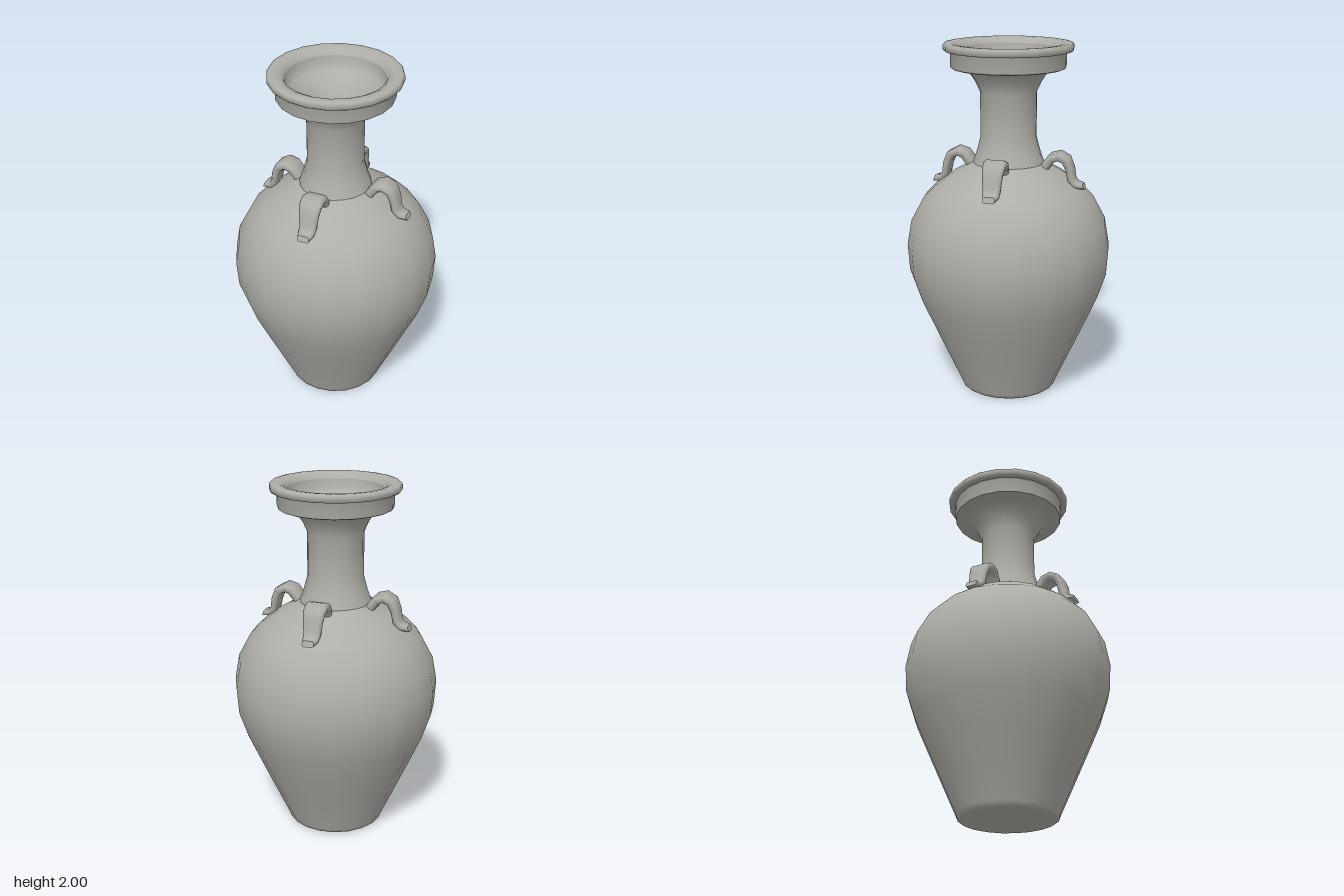
import * as THREE from 'three';
import { toCreasedNormals } from 'three/addons/utils/BufferGeometryUtils.js';

const clay = new THREE.MeshStandardMaterial({ color: 0xaeada7 });
clay.name = 'grey clay';

const SIDES = 20;

// Turned part from [radius, height] pairs
function turned(name, profile) {
  const points = profile.map(([r, y]) => new THREE.Vector2(r, y));
  const mesh = new THREE.Mesh(toCreasedNormals(new THREE.LatheGeometry(points, SIDES), 0.9), clay);
  mesh.name = name;
  return mesh;
}

// Arched strap swept along [radius, height, half width, half thickness] stations
function strapGeometry() {
  const stations = [
    [0.195, 1.28, 0.050, 0.024],
    [0.222, 1.335, 0.056, 0.024],
    [0.252, 1.373, 0.061, 0.024],
    [0.292, 1.385, 0.062, 0.023],
    [0.331, 1.365, 0.060, 0.022],
    [0.353, 1.315, 0.053, 0.020],
    [0.364, 1.255, 0.047, 0.019],
    [0.389, 1.226, 0.043, 0.018],
    [0.433, 1.219, 0.033, 0.017],
  ];
  // Rounded rectangular cross-section
  const section = [[1, -0.5], [1, 0.5], [0.75, 1], [-0.75, 1], [-1, 0.5], [-1, -0.5], [-0.75, -1], [0.75, -1]];
  const n = section.length;
  const last = stations.length - 1;
  const positions = [];
  const index = [];
  stations.forEach(([r, y, w, t], i) => {
    const before = stations[Math.max(i - 1, 0)];
    const after = stations[Math.min(i + 1, last)];
    const dir = new THREE.Vector2(after[0] - before[0], after[1] - before[1]).normalize();
    if (i === last) dir.set(0.95, 0.31);
    for (const [u, v] of section) {
      positions.push(u * w, y + v * t * dir.x, r - v * t * dir.y);
    }
    if (i === last) return;
    for (let j = 0; j < n; j++) {
      const a = i * n + j;
      const b = i * n + (j + 1) % n;
      index.push(a, b, a + n, b, b + n, a + n);
    }
  });
  // End caps
  for (let j = 1; j < n - 1; j++) {
    index.push(0, j + 1, j);
    index.push(last * n, last * n + j, last * n + j + 1);
  }
  const geometry = new THREE.BufferGeometry();
  geometry.setAttribute('position', new THREE.Float32BufferAttribute(positions, 3));
  geometry.setIndex(index);
  return toCreasedNormals(geometry, 1.0);
}

export function createModel() {
  const vase = new THREE.Group();
  vase.name = 'vase';

  // Foot, belly and shoulder
  vase.add(turned('body', [
    [0, 0], [0.262, 0], [0.274, 0.008], [0.282, 0.03], [0.365, 0.215], [0.45, 0.405],
    [0.518, 0.56], [0.568, 0.71], [0.578, 0.86], [0.553, 1.0], [0.484, 1.13],
    [0.415, 1.2], [0.31, 1.275], [0.2, 1.335],
  ]));

  // Neck flaring out to the mouth
  vase.add(turned('neck', [
    [0.2, 1.335], [0.178, 1.4], [0.157, 1.48], [0.157, 1.73], [0.185, 1.79], [0.222, 1.845], [0.245, 1.857],
  ]));

  // Collar below the lip
  vase.add(turned('collar', [
    [0.245, 1.857], [0.305, 1.859], [0.317, 1.864], [0.32, 1.875], [0.32, 1.945], [0.325, 1.955],
  ]));

  // Rounded lip
  vase.add(turned('lip', [
    [0.325, 1.955], [0.352, 1.956], [0.36, 1.964], [0.36, 1.988], [0.353, 1.997],
    [0.335, 2.0], [0.305, 1.997], [0.28, 1.984], [0.268, 1.965],
  ]));

  // Hollow mouth, throat and inner floor
  vase.add(turned('inside', [
    [0.268, 1.965], [0.262, 1.92], [0.245, 1.893], [0.2, 1.865], [0.15, 1.8], [0.112, 1.73],
    [0.11, 1.48], [0.15, 1.31], [0.38, 1.16], [0.52, 0.86], [0.46, 0.56], [0.24, 0.06], [0, 0.05],
  ]));

  // Four lug handles around the shoulder
  const strap = strapGeometry();
  ['front', 'left', 'back', 'right'].forEach((side, i) => {
    const handle = new THREE.Mesh(strap, clay);
    handle.name = side + 'Handle';
    handle.rotation.y = i * Math.PI / 2;
    vase.add(handle);
  });

  return vase;
}
